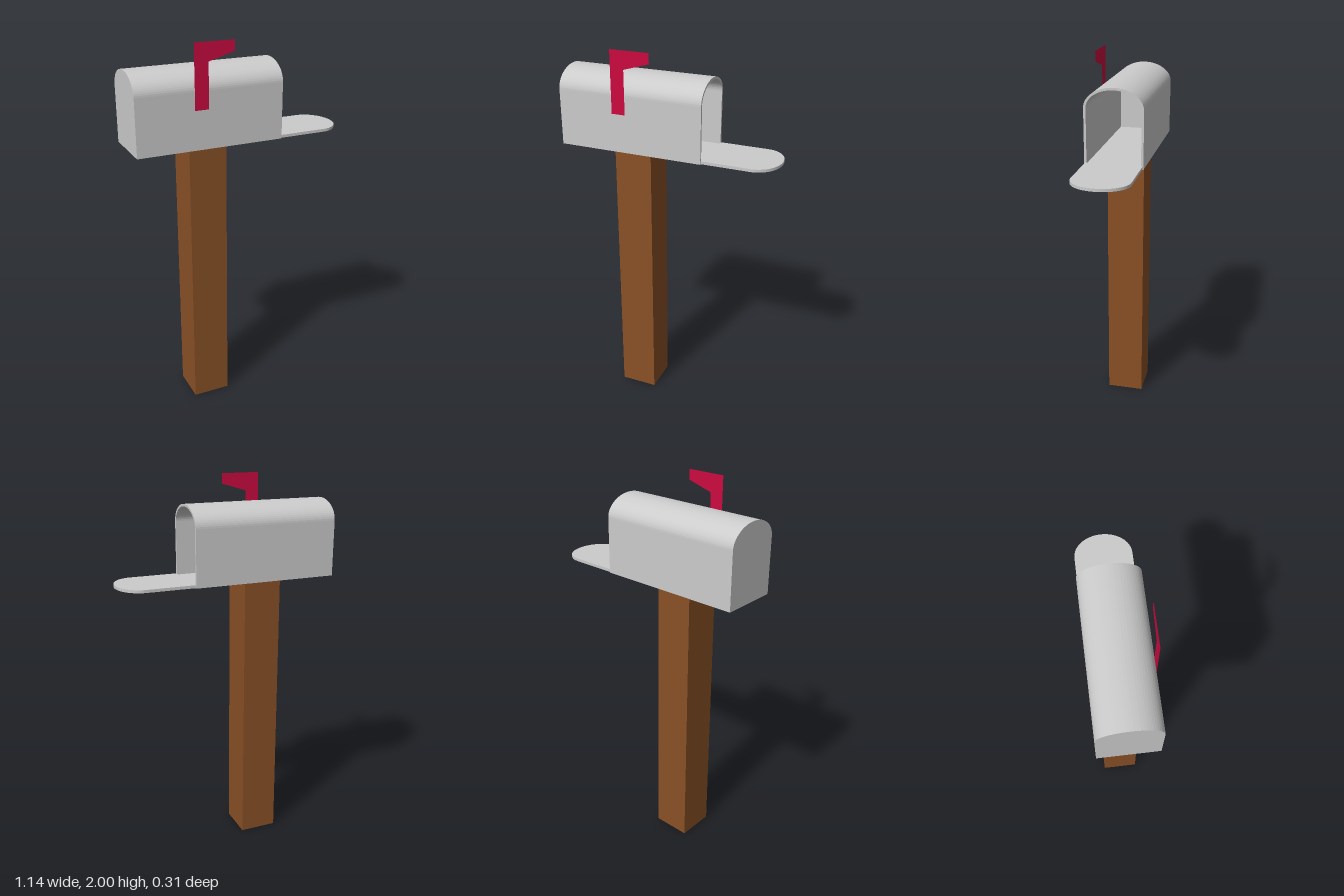
import * as THREE from 'three';

const metal = new THREE.MeshStandardMaterial({ color: 0xcccccc });
const wood = new THREE.MeshStandardMaterial({ color: 0x8a5026 });
const red = new THREE.MeshStandardMaterial({ color: 0xcc0a40, side: THREE.DoubleSide });

const Z = -0.003; // box centre line, offset by the flag on its front
const FLOOR = 1.48, SPRING = 1.77, TOP = 1.873;
const BACK = -0.572, MOUTH = 0.198, WALL = 0.012;

// Upright outline with a half-ellipse arch on top
function arch(Type, halfWidth, bottom, spring, top) {
  const path = new Type();
  path.moveTo(-halfWidth, bottom);
  path.lineTo(halfWidth, bottom);
  path.lineTo(halfWidth, spring);
  path.absellipse(0, spring, halfWidth, top - spring, 0, Math.PI, false, 0);
  path.closePath();
  return path;
}

function extrude(shape, depth) {
  return new THREE.ExtrudeGeometry(shape, { depth, bevelEnabled: false, curveSegments: 16 });
}

function add(parent, name, geometry, material, x, y, z) {
  const mesh = new THREE.Mesh(geometry, material);
  mesh.name = name;
  mesh.position.set(x, y, z);
  parent.add(mesh);
}

export function createModel() {
  const model = new THREE.Group();
  model.name = 'mailbox';

  // Square wooden post
  add(model, 'post', new THREE.BoxGeometry(0.2, FLOOR, 0.2), wood, -0.19, FLOOR / 2, 0);

  // Hollow arched shell, open toward +x
  const shell = arch(THREE.Shape, 0.15, FLOOR, SPRING, TOP);
  shell.holes.push(arch(THREE.Path, 0.15 - WALL, FLOOR + WALL, SPRING, TOP - WALL));
  add(model, 'shell', extrude(shell, MOUTH - BACK - WALL).rotateY(Math.PI / 2), metal, BACK + WALL, 0, Z);

  // Closed end
  const end = arch(THREE.Shape, 0.15, FLOOR, SPRING, TOP);
  add(model, 'backWall', extrude(end, WALL).rotateY(Math.PI / 2), metal, BACK, 0, Z);

  // Door folded down flat, rounded end outward
  const door = new THREE.Shape();
  door.moveTo(0, -0.146);
  door.lineTo(0.255, -0.146);
  door.absellipse(0.255, 0, 0.119, 0.146, -Math.PI / 2, Math.PI / 2, false, 0);
  door.lineTo(0, 0.146);
  door.closePath();
  add(model, 'door', extrude(door, 0.015).rotateX(-Math.PI / 2), metal, MOUTH, FLOOR + 0.002, Z);

  // Raised signal flag, a thin sheet on the front side
  const flag = new THREE.Shape([
    [-0.275, 1.68], [-0.203, 1.68], [-0.203, 1.907], [-0.067, 1.947], [-0.067, 2], [-0.275, 2],
  ].map(([x, y]) => new THREE.Vector2(x, y)));
  add(model, 'flag', new THREE.ShapeGeometry(flag), red, 0, 0, 0.153);

  return model;
}
